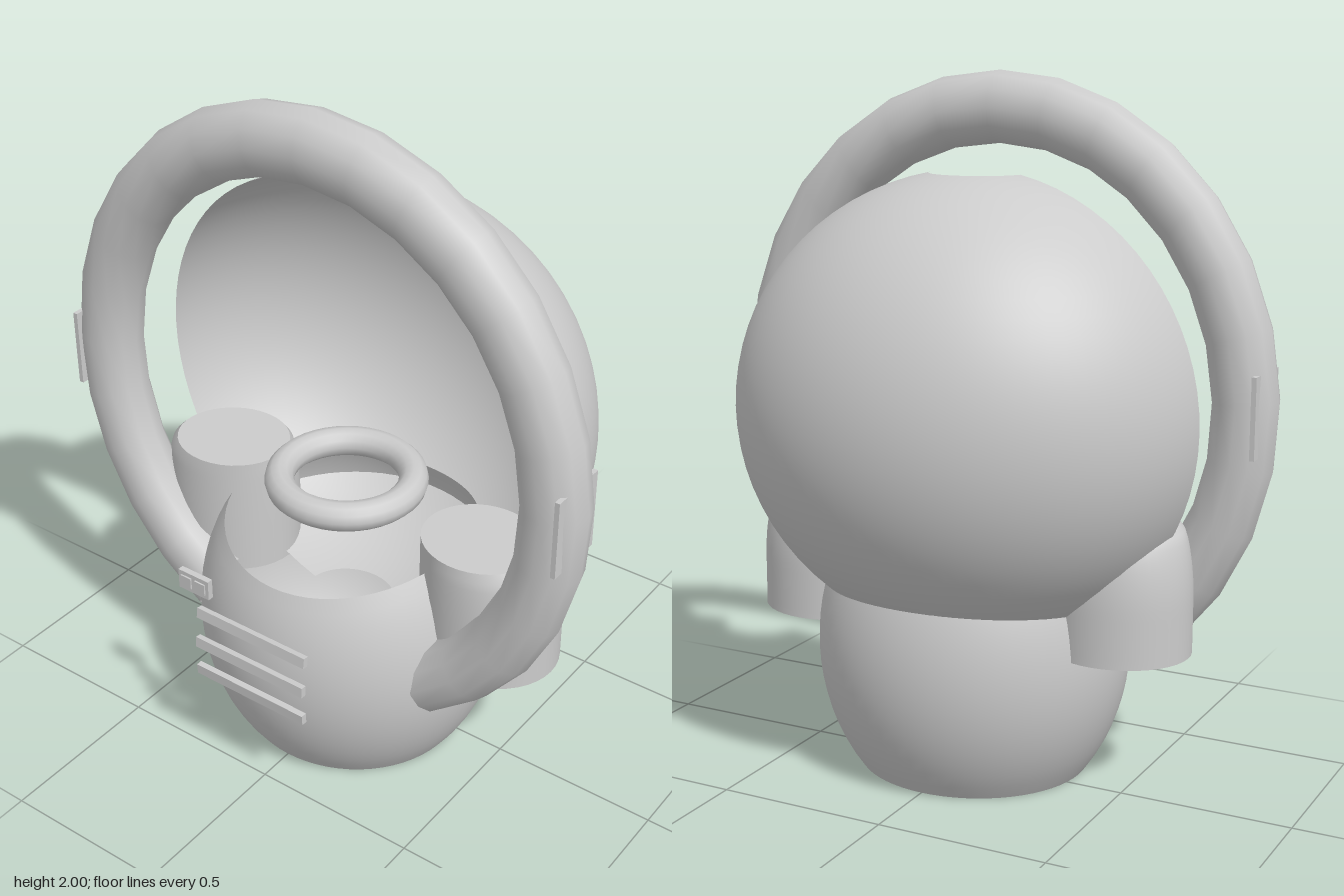
import * as THREE from 'three';
import { mergeVertices } from 'three/addons/utils/BufferGeometryUtils.js';

const material = new THREE.MeshStandardMaterial({ color: 0xcccccc, side: THREE.DoubleSide });

function add(parent, name, geometry, x = 0, y = 0, z = 0) {
  const mesh = new THREE.Mesh(geometry, material);
  mesh.name = name;
  mesh.position.set(x, y, z);
  parent.add(mesh);
  return mesh;
}

// Move every vertex by a rule, then weld and smooth
function reshape(geometry, rule) {
  const p = geometry.attributes.position;
  const v = new THREE.Vector3();
  for (let i = 0; i < p.count; i++) {
    v.fromBufferAttribute(p, i);
    rule(v);
    p.setXYZ(i, v.x, v.y, v.z);
  }
  geometry.deleteAttribute('uv');
  geometry.deleteAttribute('normal');
  const welded = mergeVertices(geometry, 1e-5);
  welded.computeVertexNormals();
  return welded;
}

// Barrel-shaped shell, open at both ends, with a rim that dips at front and back
function bodyGeometry() {
  return reshape(new THREE.CylinderGeometry(1, 1, 1, 64, 16, true), (v) => {
    const rim = 0.655 + 0.055 * v.x * v.x;
    const y = (v.y + 0.5) * rim;
    const r = Math.sqrt(1 - ((y - 0.37) / 0.55) ** 2);
    v.set(v.x * 0.46 * r, y, v.z * 0.44 * r);
  });
}

// Shoulder cap: elliptical wall, rounded over at the outer and back top edge
function shoulderGeometry(side) {
  const wall = new THREE.CylinderGeometry(1, 1, 1, 40, 14, true);
  return reshape(wall, (v) => {
    const t = v.y + 0.5;
    const k = Math.max(0, (t - 0.4) / 0.6);
    const outward = THREE.MathUtils.clamp(0.5 + 0.5 * (v.x * side * 0.7 - v.z * 0.7), 0, 1);
    const shrink = 1 - 0.36 * outward * (1 - Math.sqrt(1 - k * k));
    v.set(v.x * 0.208 * shrink, t * 0.375, v.z * 0.19 * shrink);
  });
}

// Flat lid matching the top edge of a shoulder cap
function shoulderLid(side) {
  const points = [];
  for (let i = 0; i < 40; i++) {
    const a = (i / 40) * Math.PI * 2;
    const x = Math.sin(a), z = Math.cos(a);
    const shrink = 1 - 0.36 * THREE.MathUtils.clamp(0.5 + 0.35 * (x * side - z), 0, 1);
    points.push(new THREE.Vector2(x * 0.208 * shrink, -z * 0.19 * shrink));
  }
  return new THREE.ShapeGeometry(new THREE.Shape(points)).rotateX(-Math.PI / 2);
}

export function createModel() {
  const model = new THREE.Group();
  model.name = 'suit';

  add(model, 'body', bodyGeometry(), 0, 0, 0.065);

  // Back hood: ellipsoid slice with small holes at both poles
  const gap = 0.125;
  const hood = new THREE.SphereGeometry(1, 40, 32, Math.PI + gap, Math.PI - 2 * gap, 0.2, Math.PI - 0.4);
  hood.scale(0.71, 0.673, 0.64);
  add(model, 'hood', hood, 0, 1.06, 0.081);

  // Large open ring framing the face
  const arc = (Math.PI * 5) / 3;
  const ring = new THREE.TorusGeometry(0.757, 0.095, 12, 24, arc);
  ring.rotateZ(Math.PI / 2 - arc / 2);
  ring.scale(1, 1.08, 0.95);
  add(model, 'faceRing', ring, 0, 1.08, 0.22);

  // Neck ring
  const collar = new THREE.TorusGeometry(0.192, 0.043, 12, 40).rotateX(Math.PI / 2);
  add(model, 'neckRing', collar, 0, 0.832, 0.09);

  // Shoulders and side plates, mirrored
  for (const side of [1, -1]) {
    const shoulder = new THREE.Group();
    shoulder.name = side > 0 ? 'leftShoulder' : 'rightShoulder';
    shoulder.position.set(side * 0.467, 0.415, 0.04);
    add(shoulder, 'shoulderWall', shoulderGeometry(side));
    add(shoulder, 'shoulderTop', shoulderLid(side), 0, 0.375, 0);
    model.add(shoulder);

    add(model, 'ringPlate', new THREE.BoxGeometry(0.014, 0.23, 0.185), side * 0.808, 1.085, 0.22);
  }

  // Chest bars
  [[0.542, 0.535], [0.446, 0.547], [0.348, 0.547]].forEach(([y, z], i) => {
    const bar = add(model, 'chestBar', new THREE.BoxGeometry(0.38, 0.032, 0.018), 0, y, z);
    bar.rotation.x = [-0.15, -0.1, 0.05][i];
  });

  // Small chest badge with raised cells
  add(model, 'chestBadge', new THREE.BoxGeometry(0.108, 0.062, 0.018), -0.21, 0.624, 0.52);
  for (const x of [-0.235, -0.185]) {
    add(model, 'badgeCell', new THREE.BoxGeometry(0.036, 0.036, 0.006), x, 0.624, 0.531);
  }

  return model;
}
